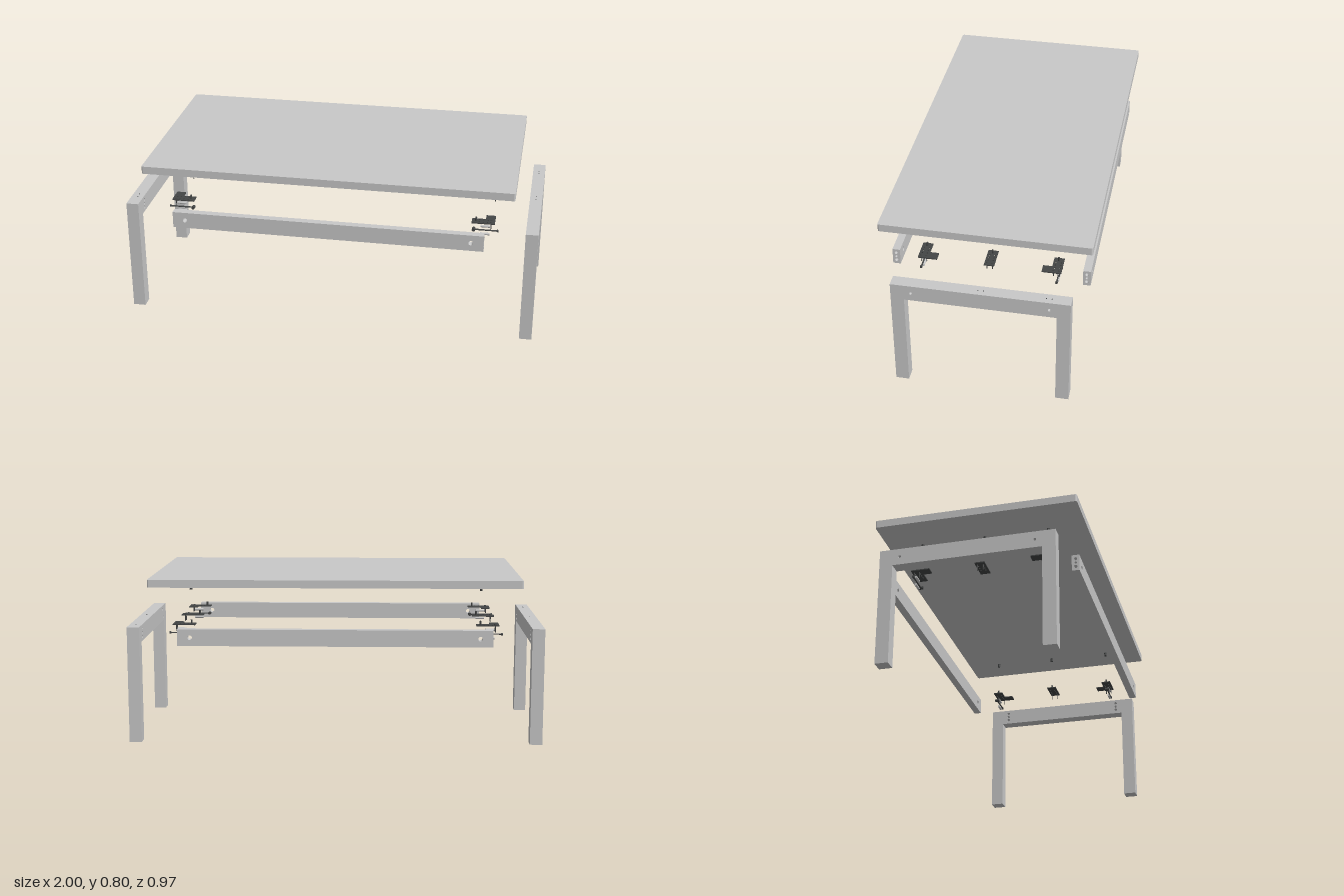
import * as THREE from 'three';

export function createModel() {
  const panelMat = new THREE.MeshStandardMaterial({ color: 0xc8c8c8 });
  panelMat.name = 'light grey panel';
  const metalMat = new THREE.MeshStandardMaterial({ color: 0x444646 });
  metalMat.name = 'dark fittings';

  const root = new THREE.Group();
  root.name = 'explodedTable';

  const add = (parent, name, geo, mat, x = 0, y = 0, z = 0) => {
    const m = new THREE.Mesh(geo, mat);
    m.name = name;
    m.position.set(x, y, z);
    parent.add(m);
    return m;
  };
  const shapeOf = pts => new THREE.Shape(pts.map(([a, b]) => new THREE.Vector2(a, b)));
  const rect = (x0, y0, x1, y1) => shapeOf([[x0, y0], [x1, y0], [x1, y1], [x0, y1]]);
  const drill = (shape, x, y, r) => {
    const p = new THREE.Path();
    p.absarc(x, y, r, 0, Math.PI * 2, true);
    shape.holes.push(p);
    return shape;
  };
  const extrude = (shape, depth) =>
    new THREE.ExtrudeGeometry(shape, { depth, bevelEnabled: false, curveSegments: 16 });
  // extrudes a (z, y) profile along x, from x1 back to x1 - depth
  const extrudeX = (shape, depth, x1) =>
    extrude(shape, depth).rotateY(-Math.PI / 2).translate(x1, 0, 0);
  const rod = (r, len, axis = 'y', sides = 12) => {
    const g = new THREE.CylinderGeometry(r, r, len, sides);
    if (axis === 'x') g.rotateZ(Math.PI / 2);
    if (axis === 'z') g.rotateX(Math.PI / 2);
    return g;
  };

  // Table top with slightly rounded corners
  const W = 0.885, D = 0.485, R = 0.008;
  const top = new THREE.Shape();
  top.absarc(W - R, D - R, R, 0, Math.PI / 2);
  top.absarc(-W + R, D - R, R, Math.PI / 2, Math.PI);
  top.absarc(-W + R, -D + R, R, Math.PI, Math.PI * 1.5);
  top.absarc(W - R, -D + R, R, Math.PI * 1.5, Math.PI * 2);
  add(root, 'tableTop', extrude(top, 0.037).rotateX(-Math.PI / 2), panelMat, 0, 0.767, 0);

  const railY = 0.525, jointZ = 0.315, plateZ = 0.309;

  // Long rails, with cross holes and drilled ends
  for (const s of [1, -1]) {
    const rail = new THREE.Group();
    rail.name = s > 0 ? 'frontRail' : 'backRail';
    const body = rect(-0.715, 0.485, 0.715, 0.565);
    drill(body, -0.69, railY, 0.011);
    drill(body, 0.69, railY, 0.011);
    add(rail, 'railBody', extrude(body, 0.036), panelMat, 0, 0, -0.018);
    for (const e of [1, -1]) {
      const end = rect(-0.018, 0.485, 0.018, 0.565);
      drill(end, 0, railY, 0.006);
      for (const dy of [-0.02, 0.02]) drill(end, 0, railY + dy, 0.008);
      add(rail, 'railEnd', extrudeX(end, 0.035, e > 0 ? 0.75 : -0.715), panelMat);
    }
    rail.position.z = s * 0.446;
    root.add(rail);
  }

  // Everything belonging to one end; the other end is the same turned half round
  function makeEnd(name) {
    const end = new THREE.Group();
    end.name = name;

    // Leg frame in two layers: bolt holes outside, bolt and dowel holes inside
    const frame = () => shapeOf([
      [-0.41, 0], [-0.348, 0], [-0.348, 0.485], [0.348, 0.485],
      [0.348, 0], [0.41, 0], [0.41, 0.565], [-0.41, 0.565],
    ]);
    const outer = frame(), inner = frame();
    for (const s of [1, -1]) {
      drill(outer, s * jointZ, railY, 0.007);
      drill(inner, s * jointZ, railY, 0.007);
      for (const dy of [-0.02, 0.02]) drill(inner, s * jointZ, railY + dy, 0.008);
    }
    add(end, 'legFrameOuter', extrudeX(outer, 0.035, 1), panelMat);
    add(end, 'legFrameInner', extrudeX(inner, 0.025, 0.965), panelMat);

    // Pilot holes on top of the frame
    for (const z of [0, -plateZ])
      for (const dz of [-0.013, 0.013])
        add(end, 'pilotHole', rod(0.003, 0.001), metalMat, 0.97, 0.565, z + dz);

    // Fixing plates: a straight one in the middle, L-shaped ones at the corners
    for (const s of [1, 0, -1]) {
      const plate = new THREE.Group();
      plate.name = s ? 'cornerPlate' : 'middlePlate';
      const outline = s
        ? shapeOf([[0.68, -0.024], [0.79, -0.024], [0.79, 0.066], [0.745, 0.066], [0.745, 0.024], [0.68, 0.024]])
        : rect(0.68, -0.024, 0.79, 0.024);
      for (const x of [0.715, 0.735, 0.755])
        for (const dz of [-0.012, 0.012]) drill(outline, x, dz, 0.004);
      const geo = extrude(outline, 0.005).rotateX(-Math.PI / 2);
      const m = add(plate, 'plate', geo, metalMat, 0, 0.564, 0);
      if (s < 0) { // turned over so the arm points to the middle
        m.rotation.x = Math.PI;
        m.position.y = 0.569;
      }
      add(plate, 'plateStud', rod(0.0045, 0.022), metalMat, 0.7, 0.577, 0);
      for (const dz of [-0.013, 0.013]) {
        add(plate, 'screwHead', rod(0.005, 0.004), metalMat, 0.772, 0.57, dz);
        add(plate, 'screwShaft', rod(0.0022, 0.034), metalMat, 0.772, 0.552, dz);
      }
      plate.position.z = s * plateZ;
      end.add(plate);

      // Threaded insert below the table top
      const profile = [[0.003, 0], [0.006, 0], [0.007, 0.003], [0.006, 0.006], [0.007, 0.009],
        [0.006, 0.012], [0.007, 0.016], [0.007, 0.019], [0.003, 0.019], [0.003, 0]];
      const insert = new THREE.LatheGeometry(profile.map(p => new THREE.Vector2(...p)), 14);
      add(end, 'threadedInsert', insert, metalMat, 0.7, 0.735, s * plateZ);
    }

    // Joint bolts, barrel nuts and dowels
    for (const s of [1, -1]) {
      const joint = new THREE.Group();
      joint.name = 'jointFittings';
      add(joint, 'boltShaft', rod(0.0035, 0.115, 'x'), metalMat, 0.745, railY, 0);
      add(joint, 'boltHead', rod(0.006, 0.008, 'x'), metalMat, 0.804, railY, 0);
      add(joint, 'barrelNut', rod(0.008, 0.022, 'z'), metalMat, 0.69, railY, 0);
      for (const dy of [-0.02, 0.02])
        add(joint, 'dowel', rod(0.006, 0.045, 'x'), panelMat, 0.745, railY + dy, 0);
      joint.position.z = s * jointZ;
      end.add(joint);
    }
    return end;
  }

  root.add(makeEnd('leftEnd'));
  const rightEnd = makeEnd('rightEnd');
  rightEnd.rotation.y = Math.PI;
  root.add(rightEnd);
  return root;
}
